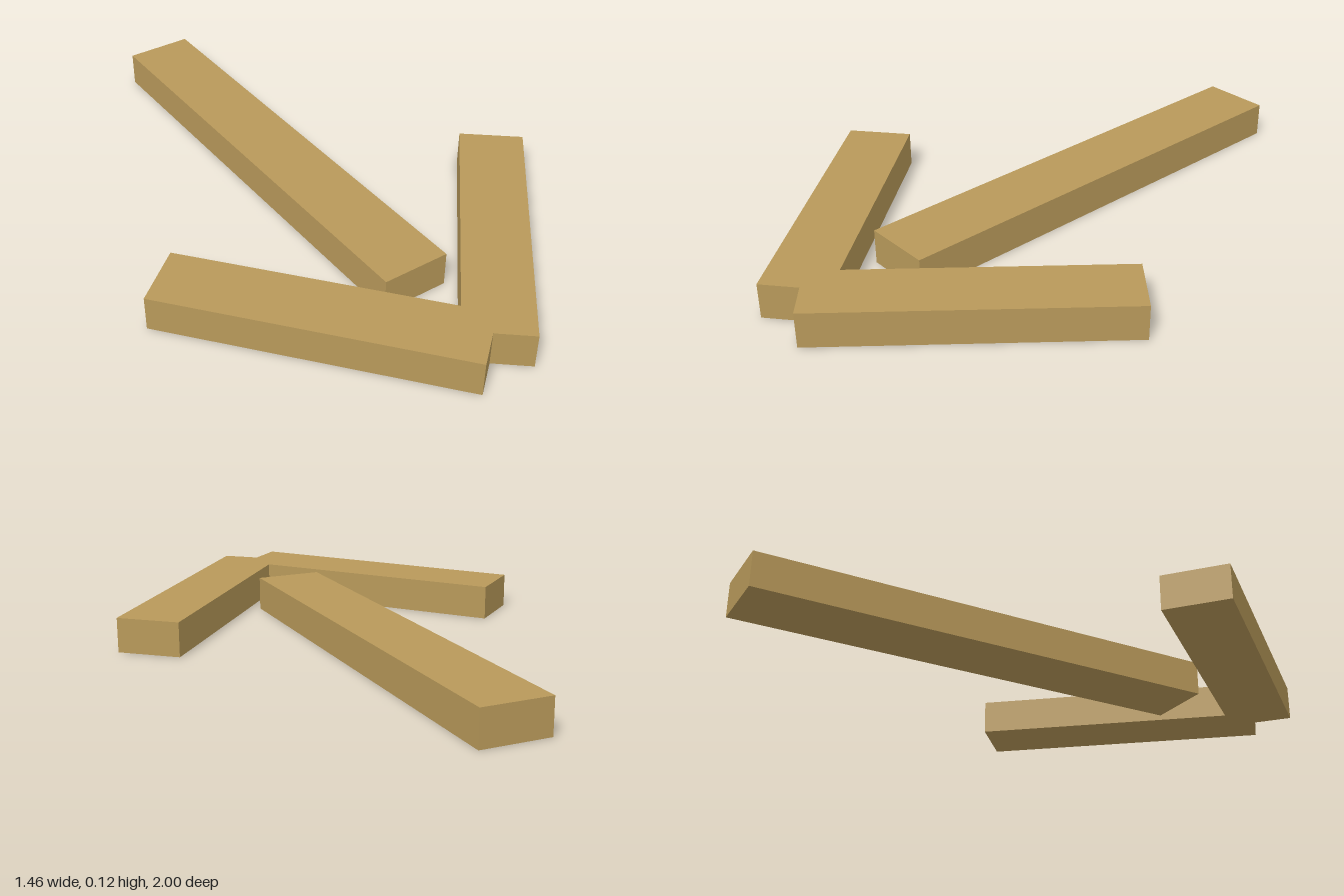
import * as THREE from 'three';

const HEIGHT = 0.116;

export function createModel() {
  const group = new THREE.Group();
  group.name = 'arrow';
  const wood = new THREE.MeshStandardMaterial({ color: 0xb8995a });
  wood.name = 'tan';

  // A flat bar lying on the ground, its length along z before turning
  function bar(name, width, length, x, z, turn = 0) {
    const mesh = new THREE.Mesh(new THREE.BoxGeometry(width, HEIGHT, length), wood);
    mesh.name = name;
    mesh.position.set(x, HEIGHT / 2, z);
    mesh.rotation.y = THREE.MathUtils.degToRad(turn);
    group.add(mesh);
  }

  // Straight shaft
  bar('shaft', 0.228, 1.58, 0, -0.21);

  // Mirrored head arms meeting at the front
  for (const side of [1, -1]) {
    bar(side > 0 ? 'leftHeadArm' : 'rightHeadArm', 0.215, 0.987, side * 0.332, 0.553, side * -40);
  }
  return group;
}
